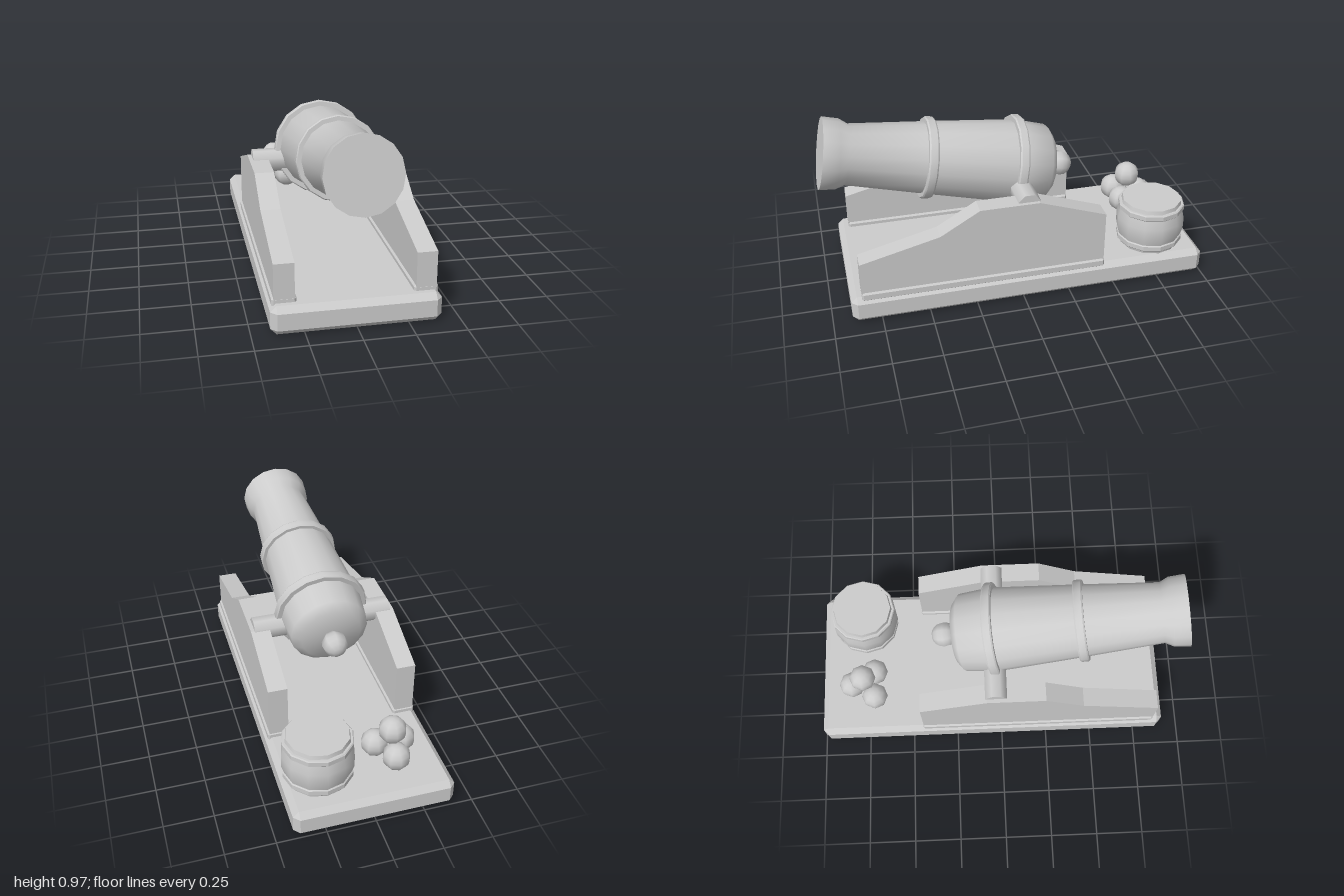
import * as THREE from 'three';
import { toCreasedNormals } from 'three/addons/utils/BufferGeometryUtils.js';
import { ConvexGeometry } from 'three/addons/geometries/ConvexGeometry.js';

const material = new THREE.MeshStandardMaterial({ color: 0xcccccc });

function add(parent, name, geometry, x = 0, y = 0, z = 0) {
  const mesh = new THREE.Mesh(geometry, material);
  mesh.name = name;
  mesh.position.set(x, y, z);
  parent.add(mesh);
  return mesh;
}

// Turned solid from [radius, height] pairs, bottom to top
function turned(profile, sides, crease = 1) {
  const points = profile.map(([r, h]) => new THREE.Vector2(r, h));
  return toCreasedNormals(new THREE.LatheGeometry(points, sides), crease);
}

// Slightly bevelled hoop centred on height h
function hoop(inner, outer, h, width, sides) {
  const w = width / 2;
  return turned([
    [inner, h - w], [outer - 0.005, h - w], [outer, h - w * 0.7],
    [outer, h + w * 0.7], [outer - 0.005, h + w], [inner, h + w],
  ], sides, 0.5);
}

// Box with every edge and corner cut off by c
function chamferBox(w, h, d, c) {
  const points = [];
  for (const sx of [-1, 1]) for (const sy of [-1, 1]) for (const sz of [-1, 1]) {
    for (const [a, b, e] of [[0, c, c], [c, 0, c], [c, c, 0]]) {
      points.push(new THREE.Vector3(sx * (w / 2 - a), sy * (h / 2 - b), sz * (d / 2 - e)));
    }
  }
  return new ConvexGeometry(points);
}

export function createModel() {
  const model = new THREE.Group();
  model.name = 'cannonOnBase';

  // Base board
  add(model, 'base', chamferBox(0.82, 0.145, 1.9, 0.03), 0, 0.0725, -0.05);

  // Side cheeks with foot strips
  const outline = [[0.845, 0.13], [0.845, 0.342], [0.435, 0.445], [0.23, 0.567],
    [-0.08, 0.567], [-0.435, 0.445], [-0.435, 0.13]];
  const cheekShape = new THREE.Shape(outline.map(([z, y]) => new THREE.Vector2(-z, y)));
  const cheekGeometry = new THREE.ExtrudeGeometry(cheekShape, { depth: 0.1, bevelEnabled: false });
  cheekGeometry.rotateY(Math.PI / 2).translate(-0.05, 0, 0);
  for (const [side, name] of [[1, 'left'], [-1, 'right']]) {
    add(model, name + 'Cheek', cheekGeometry, side * 0.34);
    add(model, name + 'FootStrip', chamferBox(0.118, 0.05, 1.285, 0.01), side * 0.34, 0.147, 0.203);
  }

  // Trunnion through both cheeks
  const trunnion = new THREE.CylinderGeometry(0.062, 0.062, 0.74, 8);
  trunnion.rotateY(Math.PI / 8).rotateZ(Math.PI / 2);
  add(model, 'trunnion', trunnion, 0, 0.548, -0.03);

  // Gun tube, tilted up
  const gun = new THREE.Group();
  gun.name = 'gun';
  gun.position.set(0, 0.607, -0.03);
  gun.rotation.x = Math.PI / 2 - THREE.MathUtils.degToRad(10);
  model.add(gun);
  add(gun, 'gunTube', turned([
    [0, -0.2], [0.16, -0.2], [0.205, -0.165], [0.222, 0], [0.19, 0.46],
    [0.157, 0.88], [0.18, 0.925], [0.186, 1.01], [0, 1.01],
  ], 16, 1.2));
  add(gun, 'rearBand', hoop(0.2, 0.249, 0, 0.05, 16));
  add(gun, 'frontBand', hoop(0.17, 0.214, 0.465, 0.05, 16));
  add(gun, 'breechKnob', new THREE.SphereGeometry(0.068, 8, 8), 0, -0.265, 0);

  // Stacked shot
  const shot = new THREE.SphereGeometry(0.071, 8, 8);
  const spots = [[-0.225, 0.228, -0.7], [-0.085, 0.228, -0.7],
    [-0.155, 0.228, -0.825], [-0.155, 0.342, -0.755]];
  spots.forEach(([x, y, z], i) => add(model, 'shot' + (i + 1), shot, x, y, z));

  // Keg with two hoops
  const keg = new THREE.Group();
  keg.name = 'keg';
  keg.position.set(0.225, 0.14, -0.752);
  model.add(keg);
  add(keg, 'kegBody', turned([
    [0, 0], [0.157, 0], [0.168, 0.05], [0.183, 0.1], [0.183, 0.165],
    [0.168, 0.225], [0.157, 0.27], [0, 0.27],
  ], 12));
  add(keg, 'lowerHoop', hoop(0.15, 0.178, 0.044, 0.035, 12));
  add(keg, 'upperHoop', hoop(0.15, 0.178, 0.232, 0.035, 12));

  return model;
}
